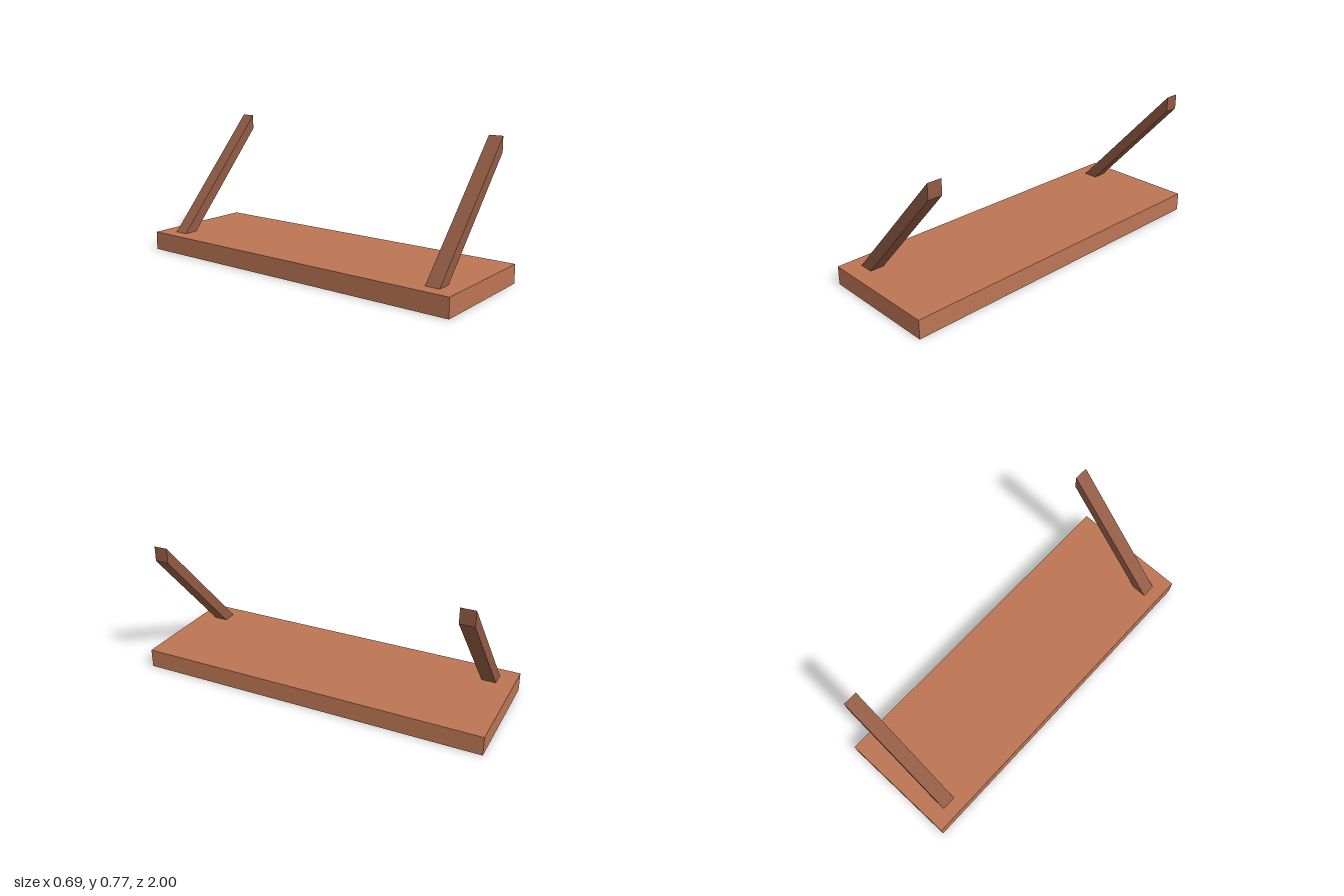
import * as THREE from 'three';

const shelfWood = new THREE.MeshStandardMaterial({ name: 'shelfWood', color: 0xbc7554 });
const braceWood = new THREE.MeshStandardMaterial({ name: 'braceWood', color: 0x925c44 });

export function createModel() {
  const model = new THREE.Group();
  model.name = 'bracedShelf';

  // Flat board
  const board = new THREE.Mesh(new THREE.BoxGeometry(0.686, 0.106, 2), shelfWood);
  board.name = 'board';
  board.position.y = 0.053;
  model.add(board);

  // Slanted brace profile: level foot, plumb-cut upper end
  const profile = new THREE.Shape([
    new THREE.Vector2(-0.268, 0.106),
    new THREE.Vector2(-0.184, 0.106),
    new THREE.Vector2(0.335, 0.681),
    new THREE.Vector2(0.335, 0.766),
  ]);
  const thickness = 0.08;
  const braceGeometry = new THREE.ExtrudeGeometry(profile, { depth: thickness, bevelEnabled: false });
  braceGeometry.translate(0, 0, -thickness / 2);

  // One brace near each end of the board
  for (const [name, z] of [['frontBrace', 0.865], ['backBrace', -0.865]]) {
    const brace = new THREE.Mesh(braceGeometry, braceWood);
    brace.name = name;
    brace.position.z = z;
    model.add(brace);
  }

  return model;
}
